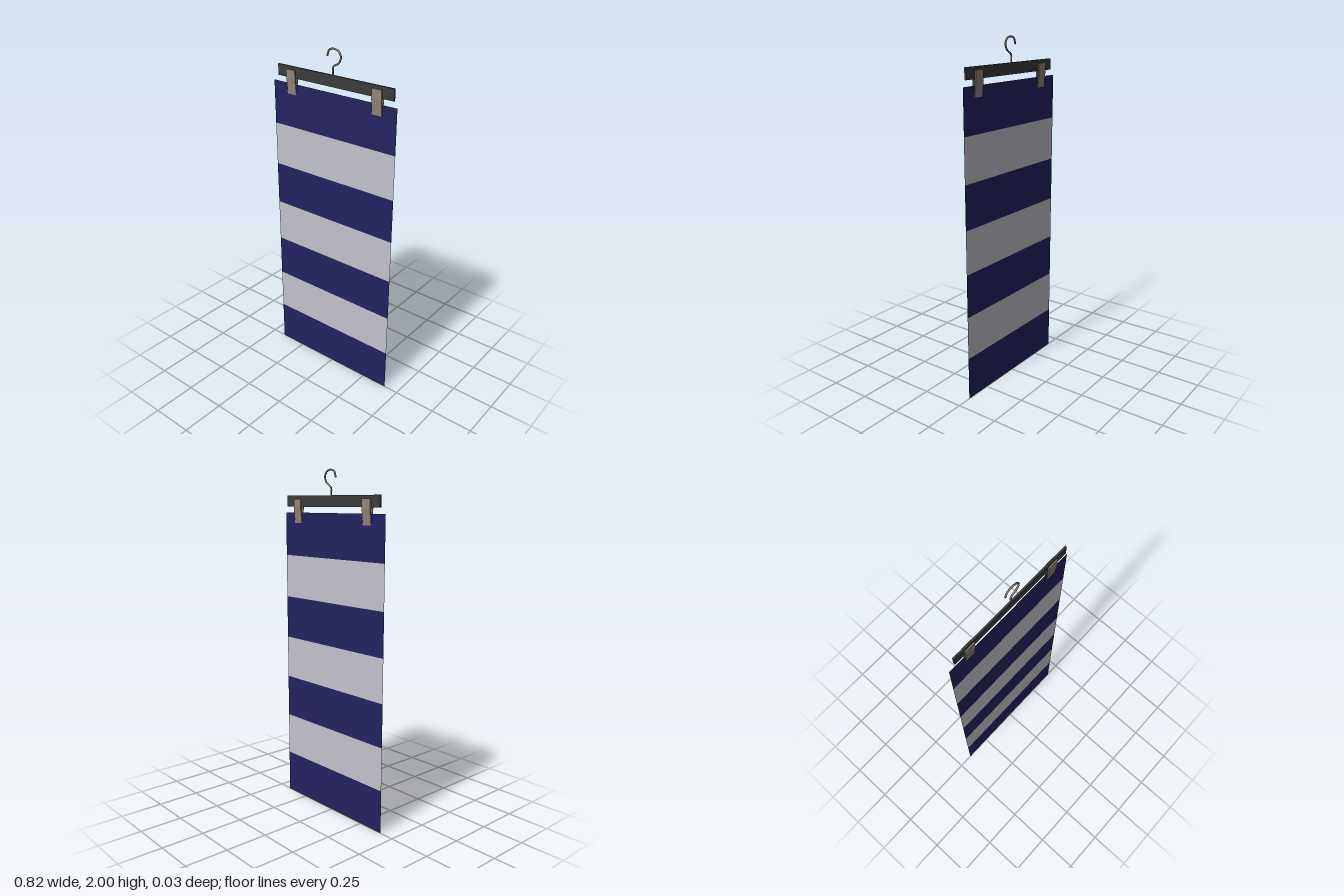
import * as THREE from 'three';

const mat = (name, color, side = THREE.FrontSide) => {
  const m = new THREE.MeshStandardMaterial({ color, side });
  m.name = name;
  return m;
};

export function createModel() {
  const navy = mat('navy cloth', 0x242260, THREE.DoubleSide);
  const pale = mat('pale grey cloth', 0xc4c3cd, THREE.DoubleSide);
  const dark = mat('dark bar', 0x3b3b3b);
  const clipMat = mat('taupe clip', 0x92867a);
  const wire = mat('hook metal', 0x7a726a);

  const group = new THREE.Group();
  group.name = 'hangingStripedCloth';
  const add = (parent, name, geometry, material, x = 0, y = 0, z = 0) => {
    const mesh = new THREE.Mesh(geometry, material);
    mesh.name = name;
    mesh.position.set(x, y, z);
    parent.add(mesh);
    return mesh;
  };

  // Flat cloth made of seven equal stripes
  const cloth = new THREE.Group();
  cloth.name = 'cloth';
  group.add(cloth);
  const width = 0.824, height = 1.762, count = 7, band = height / count;
  for (let i = 0; i < count; i++) {
    add(cloth, `stripe${i + 1}`, new THREE.PlaneGeometry(width, band),
      i % 2 ? pale : navy, 0, (i + 0.5) * band, 0);
  }

  // Hanger bar
  add(group, 'hangerBar', new THREE.BoxGeometry(0.768, 0.063, 0.01), dark, 0.009, 1.827, 0);

  // Clips: two jaws, open around the bar and closing on the cloth
  const jaw = new THREE.Shape([
    [0.001, 1.702], [0.004, 1.702], [0.0125, 1.79], [0.0125, 1.84],
    [0.006, 1.84], [0.006, 1.79],
  ].map(([z, y]) => new THREE.Vector2(z, y)));
  const jawGeometry = new THREE.ExtrudeGeometry(jaw, { depth: 0.062, bevelEnabled: false });
  jawGeometry.translate(0, 0, -0.031);
  for (const [side, x] of [['left', 0.292], ['right', -0.279]]) {
    const clip = new THREE.Group();
    clip.name = `${side}Clip`;
    clip.position.x = x;
    group.add(clip);
    add(clip, 'frontJaw', jawGeometry, clipMat).rotation.y = -Math.PI / 2;
    add(clip, 'backJaw', jawGeometry, clipMat).rotation.y = Math.PI / 2;
  }

  // Wire hook: short stem bending into an open loop
  const path = new THREE.CatmullRomCurve3([
    [0.007, 1.85], [0.007, 1.9], [0.016, 1.909], [0.044, 1.926], [0.058, 1.958],
    [0.042, 1.987], [0.01, 1.995], [-0.018, 1.986], [-0.03, 1.957],
  ].map(([x, y]) => new THREE.Vector3(x, y, 0)), false, 'centripetal');
  add(group, 'hook', new THREE.TubeGeometry(path, 28, 0.005, 8), wire);
  const tip = new THREE.SphereGeometry(0.005, 8, 6);
  add(group, 'hookTip', tip, wire, -0.03, 1.957, 0);

  return group;
}
